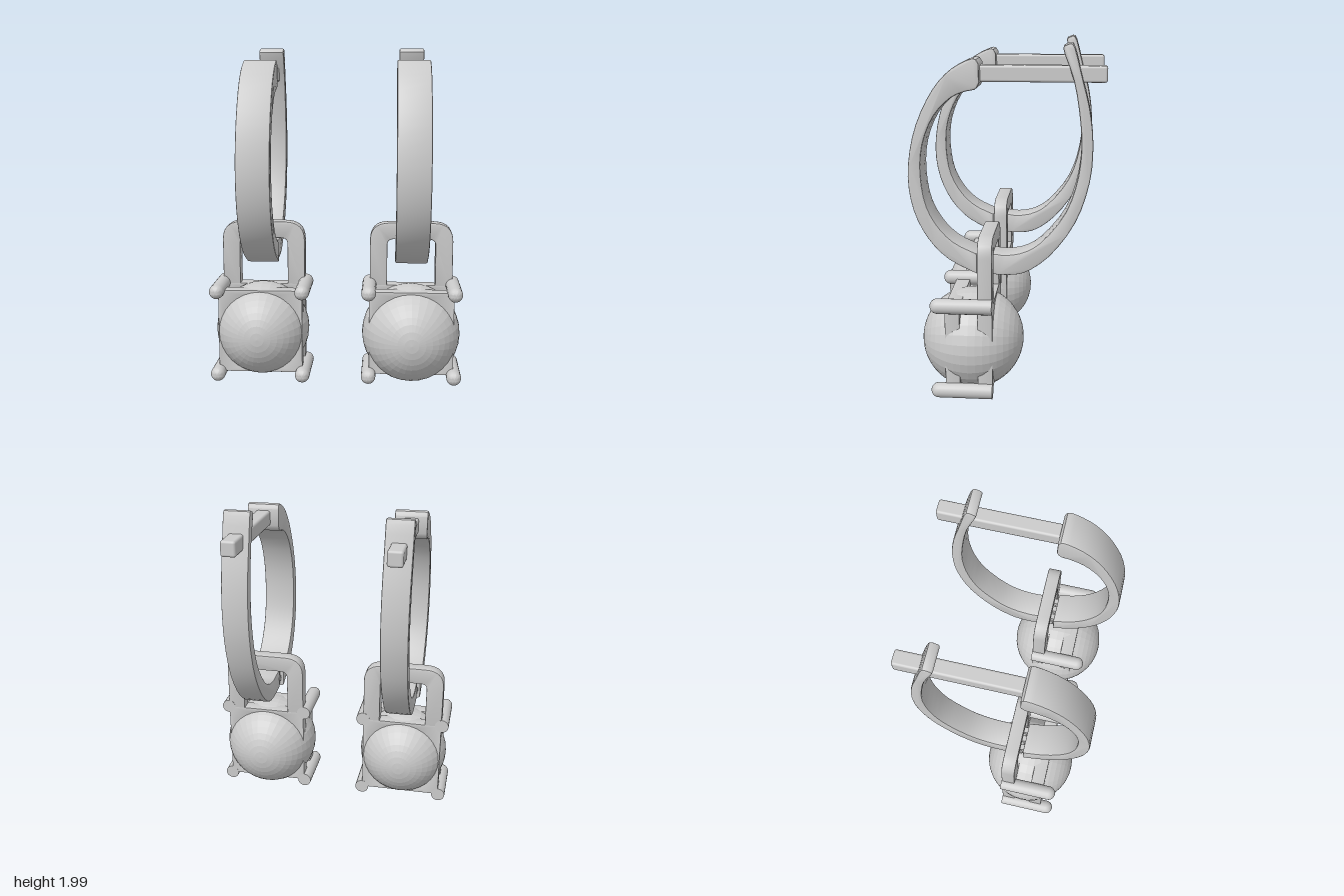
import * as THREE from 'three';
import { toCreasedNormals } from 'three/addons/utils/BufferGeometryUtils.js';
import { RoundedBoxGeometry } from 'three/addons/geometries/RoundedBoxGeometry.js';

const grey = new THREE.MeshStandardMaterial({ color: 0xcccccc });
const flatGrey = new THREE.MeshStandardMaterial({ color: 0xcccccc, flatShading: true });

function add(parent, name, geometry, x = 0, y = 0, z = 0, material = grey) {
  const mesh = new THREE.Mesh(geometry, material);
  mesh.name = name;
  mesh.position.set(x, y, z);
  parent.add(mesh);
  return mesh;
}

// Extrusion centred on its own depth, with the outline kept under the bevel
function slab(shape, depth, bevel) {
  const g = new THREE.ExtrudeGeometry(shape, {
    depth: depth - 2 * bevel, bevelThickness: bevel, bevelSize: bevel,
    bevelOffset: -bevel, bevelSegments: 2, curveSegments: 10,
  });
  g.translate(0, 0, -depth / 2 + bevel);
  return toCreasedNormals(g, 0.6);
}

// Flat band between two side-view curves given as [z, y] pairs
function band(outer, inner, width) {
  const curve = (p) => new THREE.SplineCurve(p.map(([z, y]) => new THREE.Vector2(z, y))).getPoints(28);
  const g = slab(new THREE.Shape([...curve(outer), ...curve(inner)]), width, 0.01);
  return g.rotateY(-Math.PI / 2);
}

function createEarring(ballRadius, ballY) {
  const earring = new THREE.Group();

  // Front half of the hoop, wide, thickened at the top
  add(earring, 'hoopFront', band(
    [[0.145, 1.89], [0.18, 1.92], [0.3, 1.86], [0.41, 1.735], [0.505, 1.53], [0.546, 1.3],
      [0.525, 1.1], [0.45, 0.93], [0.33, 0.8], [0.165, 0.715]],
    [[0.165, 0.835], [0.29, 0.895], [0.385, 0.99], [0.45, 1.12], [0.474, 1.29], [0.46, 1.45],
      [0.4, 1.6], [0.31, 1.7], [0.23, 1.74], [0.165, 1.755], [0.143, 1.79]], 0.195));

  // Narrower hinged back half, ending in a rounded latch tip
  add(earring, 'hoopBack', band(
    [[0.14, 0.835], [0.06, 0.83], [0, 0.825], [-0.1, 0.845], [-0.2, 0.91], [-0.32, 1.06],
      [-0.385, 1.23], [-0.411, 1.42], [-0.4, 1.6], [-0.365, 1.8], [-0.307, 1.96], [-0.315, 1.99]],
    [[-0.34, 2], [-0.367, 1.98], [-0.41, 1.82], [-0.455, 1.64], [-0.475, 1.45], [-0.46, 1.25],
      [-0.39, 1.03], [-0.26, 0.84], [-0.12, 0.73], [0, 0.705], [0.14, 0.715]], 0.157));

  // Hinge: three knuckles on a pin
  for (const x of [-0.055, 0, 0.055]) {
    add(earring, 'hingeKnuckle', new THREE.CylinderGeometry(0.045, 0.045, 0.035, 16), x, 0.775, 0.155)
      .rotation.z = Math.PI / 2;
  }
  add(earring, 'hingePin', new THREE.CylinderGeometry(0.02, 0.02, 0.165, 12), 0, 0.775, 0.14)
    .rotation.z = Math.PI / 2;

  // Ear post running through the latch
  add(earring, 'earPost', new RoundedBoxGeometry(0.088, 0.09, 0.72, 2, 0.014), 0, 1.835, -0.185);

  // Bail: an upside-down U around the hoop
  const u = new THREE.Shape();
  u.moveTo(-0.25, 0.54);
  u.lineTo(-0.25, 0.845);
  u.quadraticCurveTo(-0.25, 0.957, -0.13, 0.957);
  u.lineTo(0.13, 0.957);
  u.quadraticCurveTo(0.25, 0.957, 0.25, 0.845);
  u.lineTo(0.25, 0.54);
  u.lineTo(0.145, 0.54);
  u.lineTo(0.145, 0.82);
  u.quadraticCurveTo(0.145, 0.857, 0.105, 0.857);
  u.lineTo(-0.105, 0.857);
  u.quadraticCurveTo(-0.145, 0.857, -0.145, 0.82);
  u.lineTo(-0.145, 0.54);
  add(earring, 'bail', slab(u, 0.082, 0.006), 0, 0, 0.105);

  // Setting: two square plates with round openings for the ball
  const plate = new THREE.Shape([[-1, -1], [1, -1], [1, 1], [-1, 1]]
    .map(([x, y]) => new THREE.Vector2(x * 0.25, y * 0.25)));
  plate.holes.push(new THREE.Path().absarc(0, 0, 0.22, 0, Math.PI * 2, true));
  for (const z of [0.105, 0.288]) add(earring, 'settingPlate', slab(plate, 0.083, 0.003), 0, 0.325, z);

  // Corner prongs with rounded front ends
  const r = 0.043;
  const profile = [new THREE.Vector2(0, 0), new THREE.Vector2(r, 0)];
  for (let i = 0; i <= 6; i++) {
    const a = (i / 6) * Math.PI / 2;
    profile.push(new THREE.Vector2(r * Math.cos(a), 0.305 + r * Math.sin(a)));
  }
  const prong = toCreasedNormals(new THREE.LatheGeometry(profile, 20).rotateX(Math.PI / 2), 0.7);
  for (const x of [-0.252, 0.252]) {
    for (const y of [0.072, 0.575]) add(earring, 'prong', prong, x, y, 0.063);
  }

  // Faceted ball, poles facing front and back
  add(earring, 'ball', new THREE.SphereGeometry(ballRadius, 32, 22).rotateX(Math.PI / 2),
    0, ballY, 0.2, flatGrey);
  return earring;
}

export function createModel() {
  const model = new THREE.Group();
  const right = createEarring(0.28, 0.318);
  right.name = 'rightEarring';
  right.position.x = -0.451;
  const left = createEarring(0.294, 0.3);
  left.name = 'leftEarring';
  left.position.x = 0.445;
  model.add(right, left);
  return model;
}
